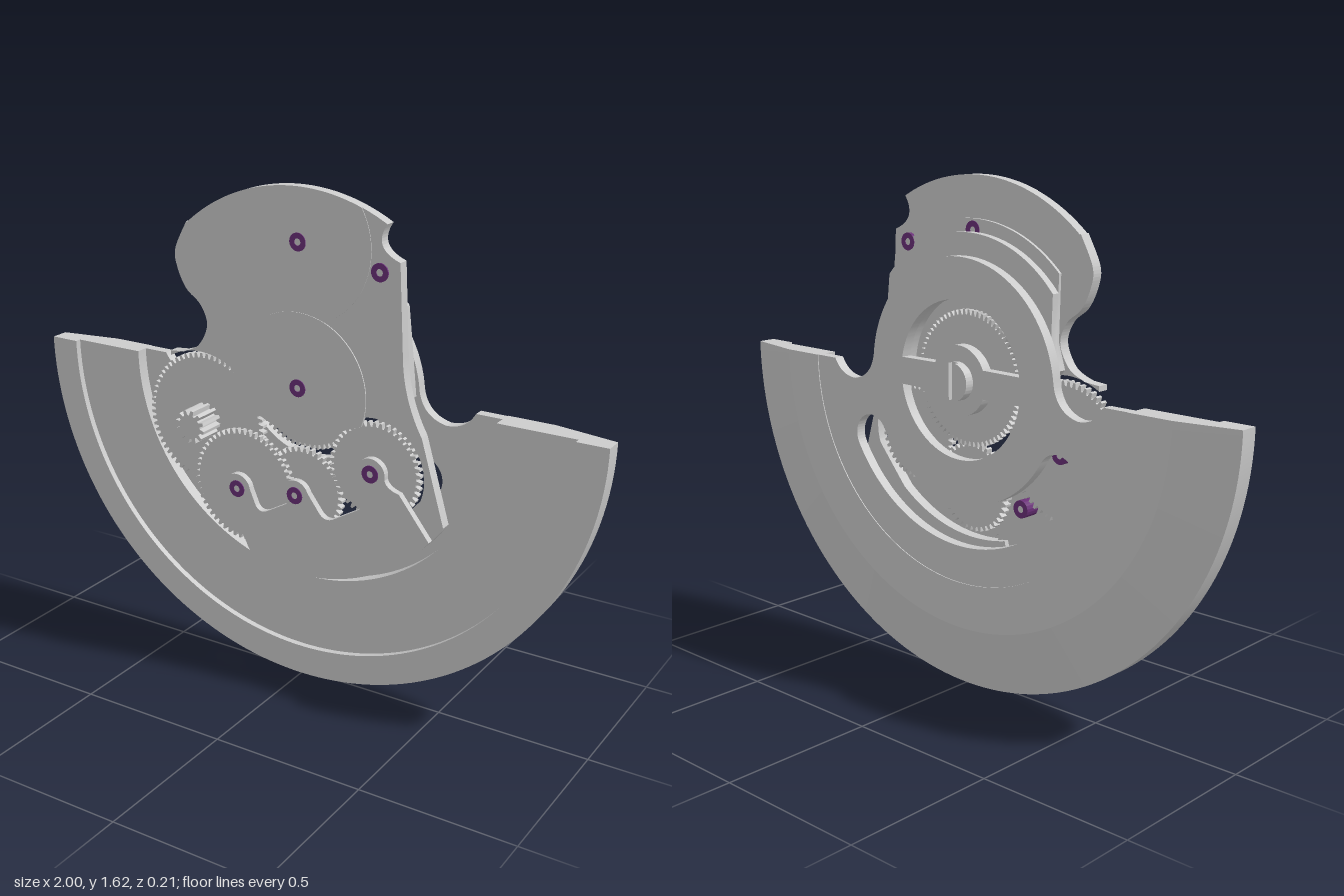
import * as THREE from 'three';
import { toCreasedNormals } from 'three/addons/utils/BufferGeometryUtils.js';

const rad = THREE.MathUtils.degToRad;
const grey = new THREE.MeshStandardMaterial({ color: 0xcccccc, side: THREE.DoubleSide });
const ruby = new THREE.MeshStandardMaterial({ color: 0x6a3078 });

// Flat part cut from a shape, between two depths
function plate(name, shape, z0, z1, material = grey) {
  const geo = new THREE.ExtrudeGeometry(shape, { depth: z1 - z0, bevelEnabled: false, curveSegments: 48 });
  geo.translate(0, 0, z0);
  const mesh = new THREE.Mesh(toCreasedNormals(geo, 0.45), material);
  mesh.name = name;
  return mesh;
}

const arc = (path, x, y, r, a0, a1, cw = false) => path.absarc(x, y, r, rad(a0), rad(a1), cw);
const lines = (path, pts) => pts.forEach(([x, y]) => path.lineTo(x, y));

function disc(name, x, y, r, z0, z1) {
  const s = new THREE.Shape();
  arc(s, x, y, r, 0, 360);
  return plate(name, s, z0, z1);
}

// Toothed wheel
function gear(name, x, y, r, teeth, depth, z0, z1) {
  const s = new THREE.Shape();
  for (let i = 0; i < teeth; i++) {
    [[0, -depth], [0.3, -depth], [0.45, 0], [0.8, 0]].forEach(([t, d]) => {
      const a = ((i + t) / teeth) * Math.PI * 2;
      const px = x + (r + d) * Math.cos(a), py = y + (r + d) * Math.sin(a);
      if (i === 0 && t === 0) s.moveTo(px, py); else s.lineTo(px, py);
    });
  }
  s.closePath();
  return plate(name, s, z0, z1);
}

// Ring bearing with a pin through it
function jewel(x, y, z0, z1) {
  const g = new THREE.Group();
  g.name = 'jewelBearing';
  const ring = new THREE.Shape(), hole = new THREE.Path();
  arc(ring, x, y, 0.028, 0, 360);
  arc(hole, x, y, 0.011, 0, 360, true);
  ring.holes.push(hole);
  g.add(plate('jewelRing', ring, z0, z1, ruby), disc('jewelPin', x, y, 0.011, z0 + 0.002, z1 - 0.002));
  return g;
}

function rotor() {
  const g = new THREE.Group();
  g.name = 'rotor';

  // Heavy half-round rim with a bevelled back and stepped front
  const profile = [[0.65, -0.077], [0.8, -0.077], [1, -0.04], [1, 0.02], [0.9, 0.02], [0.9, 0], [0.65, 0], [0.65, -0.077]]
    .map(([r, z]) => new THREE.Vector2(r, z));
  const lathe = new THREE.LatheGeometry(profile, 96, -Math.PI / 2, Math.PI);
  lathe.rotateX(Math.PI / 2).translate(0, 1, 0);
  const rim = new THREE.Mesh(toCreasedNormals(lathe.toNonIndexed(), 0.12), grey);
  rim.name = 'rotorRim';
  g.add(rim);
  for (const side of [1, -1]) {
    const cap = new THREE.Mesh(new THREE.ShapeGeometry(new THREE.Shape(profile)), grey);
    cap.name = 'rimEnd';
    cap.rotation.x = Math.PI / 2;
    if (side < 0) cap.scale.x = -1;
    cap.position.y = 1;
    g.add(cap);
  }

  // Thin web with hub, two windows and a curved slot
  const web = new THREE.Shape();
  web.moveTo(0.655, 1);
  arc(web, 0, 1, 0.655, 0, -180, true);
  web.lineTo(-0.565, 1);
  web.quadraticCurveTo(-0.535, 0.945, -0.47, 0.945);
  web.quadraticCurveTo(-0.39, 0.96, -0.378, 1.04);
  arc(web, 0, 1, 0.38, 174, 6, true);
  web.quadraticCurveTo(0.39, 0.96, 0.47, 0.945);
  web.quadraticCurveTo(0.535, 0.945, 0.565, 1);
  for (const start of [0, 180]) {
    const w = new THREE.Path();
    arc(w, 0, 1, 0.25, start + 10, start + 170);
    arc(w, 0, 1, 0.11, start + 156, start + 24, true);
    w.closePath();
    web.holes.push(w);
  }
  const slot = new THREE.Path(), a0 = -149, a1 = -31, r = 0.46, h = 0.07;
  arc(slot, 0, 1, r + h, a0, a1);
  arc(slot, r * Math.cos(rad(a1)), 1 + r * Math.sin(rad(a1)), h, a1, a1 + 180);
  arc(slot, 0, 1, r - h, a1, a0, true);
  arc(slot, r * Math.cos(rad(a0)), 1 + r * Math.sin(rad(a0)), h, a0 + 180, a0 + 360);
  web.holes.push(slot);
  g.add(plate('rotorWeb', web, -0.074, -0.04));

  // Axle and slotted screw
  g.add(disc('axle', 0, 1, 0.055, -0.08, 0), disc('screwBase', 0, 1, 0.06, -0.09, -0.074));
  for (const start of [-77, 103]) {
    const half = new THREE.Shape();
    arc(half, 0, 1, 0.06, start, start + 154);
    half.closePath();
    g.add(plate('screwHeadHalf', half, -0.104, -0.09));
  }
  return g;
}

function mainBridge() {
  const g = new THREE.Group();
  g.name = 'mainBridge';

  // Outline with edge notches and recesses around the wheels
  const s = new THREE.Shape();
  arc(s, 0, 1, 0.62, 131, 61, true);
  s.quadraticCurveTo(0.25, 1.47, 0.345, 1.436);
  s.lineTo(0.36, 1.16);
  s.quadraticCurveTo(0.365, 1.03, 0.43, 0.92);
  s.lineTo(0.51, 0.65);
  arc(s, 0, 1, 0.62, -36, -104, true);
  arc(s, 0, 1, 0.52, -104, -52);
  arc(s, 0.27, 0.78, 0.172, -20, 125);
  s.lineTo(0, 0.83);
  arc(s, -0.37, 0.82, 0.235, 20, 120);
  lines(s, [[-0.487, 1.04], [-0.433, 1.045]]);
  s.splineThru([[-0.374, 1.077], [-0.34, 1.147], [-0.364, 1.21], [-0.417, 1.255], [-0.45, 1.32], [-0.455, 1.38], [-0.41, 1.47]]
    .map(([x, y]) => new THREE.Vector2(x, y)));
  g.add(plate('bridgePlate', s, 0, 0.036));

  // Raised round fields on the front
  const upper = new THREE.Shape();
  arc(upper, 0, 1, 0.62, 69.6, 110.4);
  arc(upper, 0, 1.455, 0.25, 149.7, 390.3);
  g.add(plate('upperField', upper, 0.03, 0.038));
  const lower = new THREE.Shape();
  arc(lower, 0, 1, 0.24, -20, 200);
  lower.lineTo(-0.03, 0.838);
  lower.quadraticCurveTo(0, 0.825, 0.03, 0.838);
  g.add(plate('lowerField', lower, 0.03, 0.04));

  // Stepped layers on the back, open around the centre wheel
  for (const [radius, edge, z0, z1] of [[0.49, 46, -0.01, 0], [0.45, 41, -0.036, -0.01]]) {
    const layer = new THREE.Shape();
    arc(layer, 0, 1, radius, edge, 180 - edge);
    lines(layer, [[-0.335, 1.15], [-0.36, 1.07], [-0.3, 1]]);
    arc(layer, 0, 1, 0.26, 180, 0, true);
    lines(layer, [[0.37, 1.02], [0.355, 1.16]]);
    g.add(plate('backLayer', layer, z0, z1));
  }
  return g;
}

function wheelBridge() {
  // Three-armed front bridge
  const s = new THREE.Shape();
  arc(s, 0, 1, 0.62, -40, -104, true);
  s.quadraticCurveTo(-0.17, 0.405, -0.185, 0.44);
  arc(s, -0.22, 0.625, 0.05, 205, 10, true);
  s.lineTo(-0.15, 0.585);
  s.quadraticCurveTo(-0.135, 0.555, -0.1, 0.575);
  s.lineTo(-0.03, 0.615);
  arc(s, 0, 0.65, 0.05, 150, 20, true);
  s.lineTo(0.09, 0.61);
  s.quadraticCurveTo(0.11, 0.585, 0.14, 0.6);
  s.lineTo(0.225, 0.65);
  s.quadraticCurveTo(0.255, 0.67, 0.245, 0.7);
  arc(s, 0.27, 0.78, 0.05, 200, -10, true);
  s.quadraticCurveTo(0.325, 0.745, 0.37, 0.735);
  return plate('wheelBridge', s, 0.036, 0.058);
}

export function createModel() {
  const model = new THREE.Group();
  model.name = 'windingMechanism';
  model.add(rotor(), mainBridge(), wheelBridge());

  // Gear train
  model.add(
    gear('centreWheel', 0, 1, 0.215, 70, 0.016, -0.032, -0.012),
    gear('largeWheel', -0.37, 0.82, 0.222, 64, 0.016, -0.012, 0.012),
    gear('pinion', -0.37, 0.82, 0.056, 12, 0.016, 0.012, 0.104),
    gear('leftWheel', -0.21, 0.63, 0.19, 54, 0.015, 0.016, 0.034),
    gear('middleWheel', 0, 0.65, 0.145, 40, 0.015, -0.012, 0.012),
    gear('rightWheel', 0.27, 0.78, 0.158, 46, 0.015, 0.012, 0.032)
  );

  // Bearings: x, y, back depth, front depth
  [[0, 1.455, -0.012, 0.041], [0.28, 1.4, -0.012, 0.041], [0, 1, 0.01, 0.043], [-0.22, 0.625, -0.034, 0.061],
    [0, 0.65, -0.02, 0.061], [0.27, 0.78, -0.02, 0.061], [-0.37, 0.82, -0.034, 0]]
    .forEach((j) => model.add(jewel(...j)));
  return model;
}
